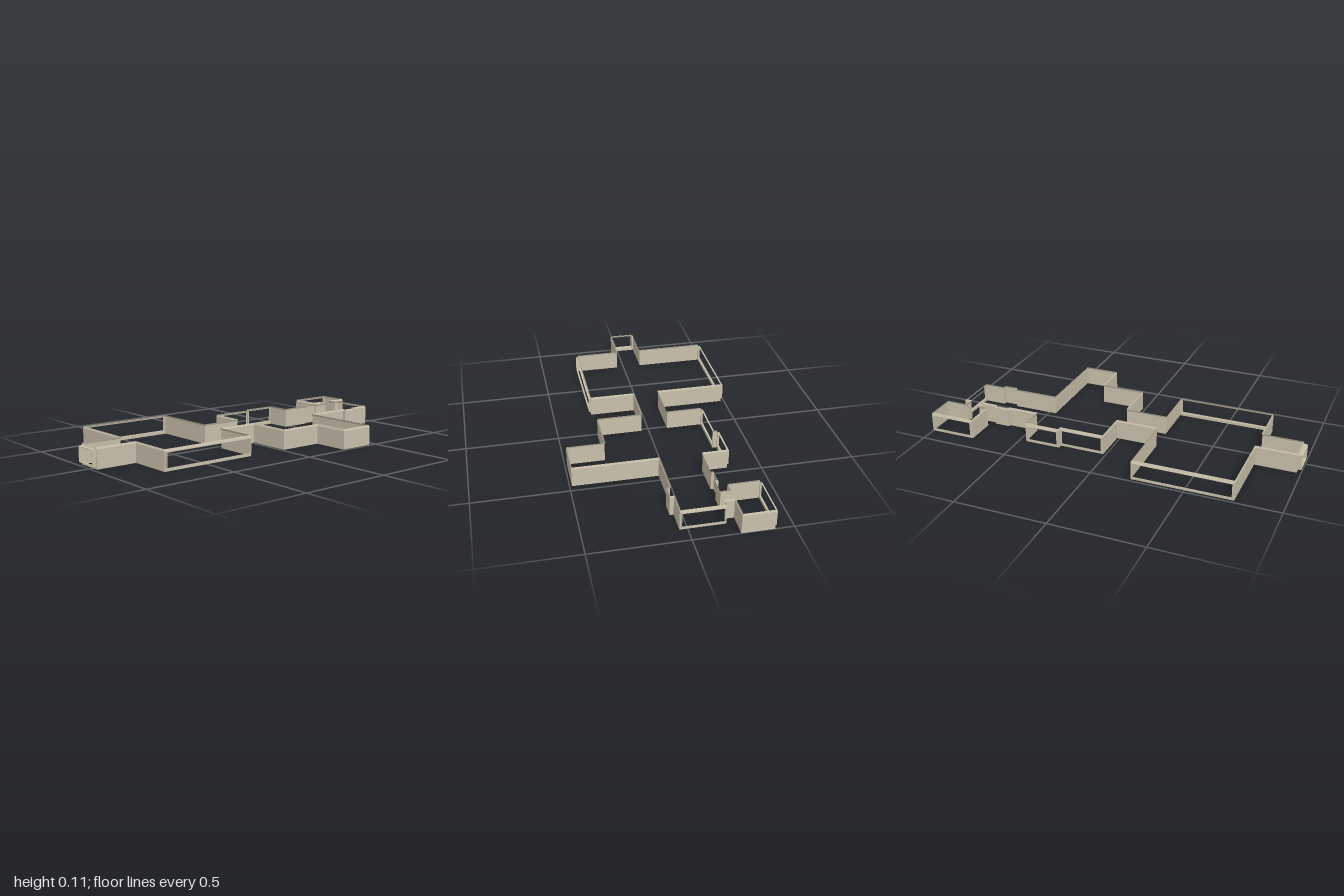
import * as THREE from 'three';
import { mergeGeometries } from 'three/addons/utils/BufferGeometryUtils.js';

const HEIGHT = 0.11;      // wall top
const COVE = 0.1;         // height where the wall starts leaning inward
const LEAN = 0.004;       // inward lean at the top
const SILL = 0.016, HEAD = 0.099, JAMB = 0.007, LIP = 0.004;

// Floor outline as [x, z, name, frameDepth]; a frameDepth makes the wall that starts there an opening
const OUTLINE = [
  [-0.105, 0.978, 'entryDoorway', 0.021], [0.04, 0.978, 'entryWall'],
  [0.04, 0.755, 'frontRoomWall'], [0.288, 0.755, 'frontRoomLeftWindow', 0.01],
  [0.288, 0.215, 'frontRoomWall'], [0.04, 0.215, 'corridorWall'],
  [0.04, -0.015, 'middleRoomWall'], [0.286, -0.015, 'middleRoomWall'],
  [0.286, -0.262, 'alcoveWall'], [0.488, -0.262, 'alcoveWall'], [0.488, -0.461, 'alcoveWall'],
  [0.04, -0.461, 'backRoomWall'], [0.04, -0.715, 'nicheWall'], [0.06, -0.715, 'nicheWall'],
  [0.06, -0.795, 'nicheWall'], [0.04, -0.795, 'backRoomWall'],
  [0.04, -0.914, 'backWindow', 0.008], [-0.19, -0.914, 'backRoomWall'],
  [-0.19, -0.877, 'passageWall'], [-0.238, -0.877, 'sideRoomWall'],
  [-0.238, -1, 'sideRoomWall'], [-0.404, -1, 'sideRoomWindow', 0.008],
  [-0.404, -0.747, 'sideRoomWall'], [-0.238, -0.747, 'sideRoomWall'],
  [-0.238, -0.797, 'passageWall'], [-0.19, -0.797, 'backRoomWall'],
  [-0.19, -0.715, 'nicheWall'], [-0.204, -0.715, 'nicheWall'], [-0.204, -0.63, 'nicheWall'],
  [-0.19, -0.63, 'backRoomWall'], [-0.19, -0.461, 'middleRoomWall'],
  [-0.323, -0.461, 'middleRoomBackWindow', 0.01], [-0.323, -0.262, 'middleRoomWall'],
  [-0.299, -0.262, 'middleRoomFrontWindow', 0.009], [-0.299, -0.015, 'middleRoomWall'],
  [-0.105, -0.015, 'corridorWall'], [-0.105, 0.215, 'frontRoomWall'],
  [-0.482, 0.215, 'frontRoomRightWindow', 0.01], [-0.482, 0.755, 'frontRoomWall'],
  [-0.105, 0.755, 'entryWall'],
];

// Flat four-cornered face
function quad(a, b, c, d) {
  const g = new THREE.BufferGeometry();
  g.setAttribute('position', new THREE.Float32BufferAttribute([a, b, c, a, c, d].flat(), 3));
  g.computeVertexNormals();
  return g;
}

// Direction and outward normal of the wall that starts at outline point i
function edge(i) {
  const n = OUTLINE.length;
  const a = OUTLINE[(i + n) % n], b = OUTLINE[(i + 1) % n];
  const dx = b[0] - a[0], dz = b[1] - a[1], length = Math.hypot(dx, dz);
  return { a, length, dir: [dx / length, dz / length], out: [-dz / length, dx / length] };
}

export function createModel() {
  const group = new THREE.Group();
  group.name = 'apartmentWalls';
  const plaster = new THREE.MeshStandardMaterial({ color: 0xcac1ab, side: THREE.DoubleSide });
  plaster.name = 'beigePlaster';

  const addMesh = (name, faces) => {
    const mesh = new THREE.Mesh(mergeGeometries(faces), plaster);
    mesh.name = name;
    group.add(mesh);
  };

  OUTLINE.forEach(([, , name, depth], i) => {
    const { a, length, dir, out } = edge(i);
    // Point on this wall: distance along, height, distance outward
    const at = (s, y, o = 0) => [a[0] + dir[0] * s + out[0] * o, y, a[1] + dir[1] * s + out[1] * o];
    const panel = (s0, s1, y0, y1, o = 0) => quad(at(s0, y0, o), at(s1, y0, o), at(s1, y1, o), at(s0, y1, o));

    // Leaning top band, mitred into both neighbours
    const turn = (e, sign) => sign * (e.out[0] * dir[0] + e.out[1] * dir[1]) * LEAN;
    const s0 = -turn(edge(i - 1), 1), s1 = length - turn(edge((i + 1) % OUTLINE.length), 1);
    const faces = [quad(at(0, COVE), at(length, COVE), at(s1, HEIGHT, -LEAN), at(s0, HEIGHT, -LEAN))];

    if (!depth) {
      faces.push(panel(0, length, 0, COVE));
      addMesh(name, faces);
      return;
    }

    // Wall surround left around the opening
    const l = JAMB, r = length - JAMB;
    faces.push(panel(0, length, 0, SILL), panel(0, length, HEAD, COVE),
      panel(0, l, SILL, HEAD), panel(r, length, SILL, HEAD));
    addMesh(name + 'Surround', faces);

    // Frame: four reveals running outward and a narrow lip at their outer end
    const corners = [[l, SILL], [r, SILL], [r, HEAD], [l, HEAD]];
    const inner = [[l + LIP, SILL + LIP], [r - LIP, SILL + LIP], [r - LIP, HEAD - LIP], [l + LIP, HEAD - LIP]];
    const frame = [];
    corners.forEach((p, k) => {
      const m = (k + 1) % 4, q = corners[m];
      frame.push(quad(at(...p, 0), at(...q, 0), at(...q, depth), at(...p, depth)));
      frame.push(quad(at(...p, depth), at(...q, depth), at(...inner[m], depth), at(...inner[k], depth)));
    });
    addMesh(name + 'Frame', frame);
  });

  return group;
}
